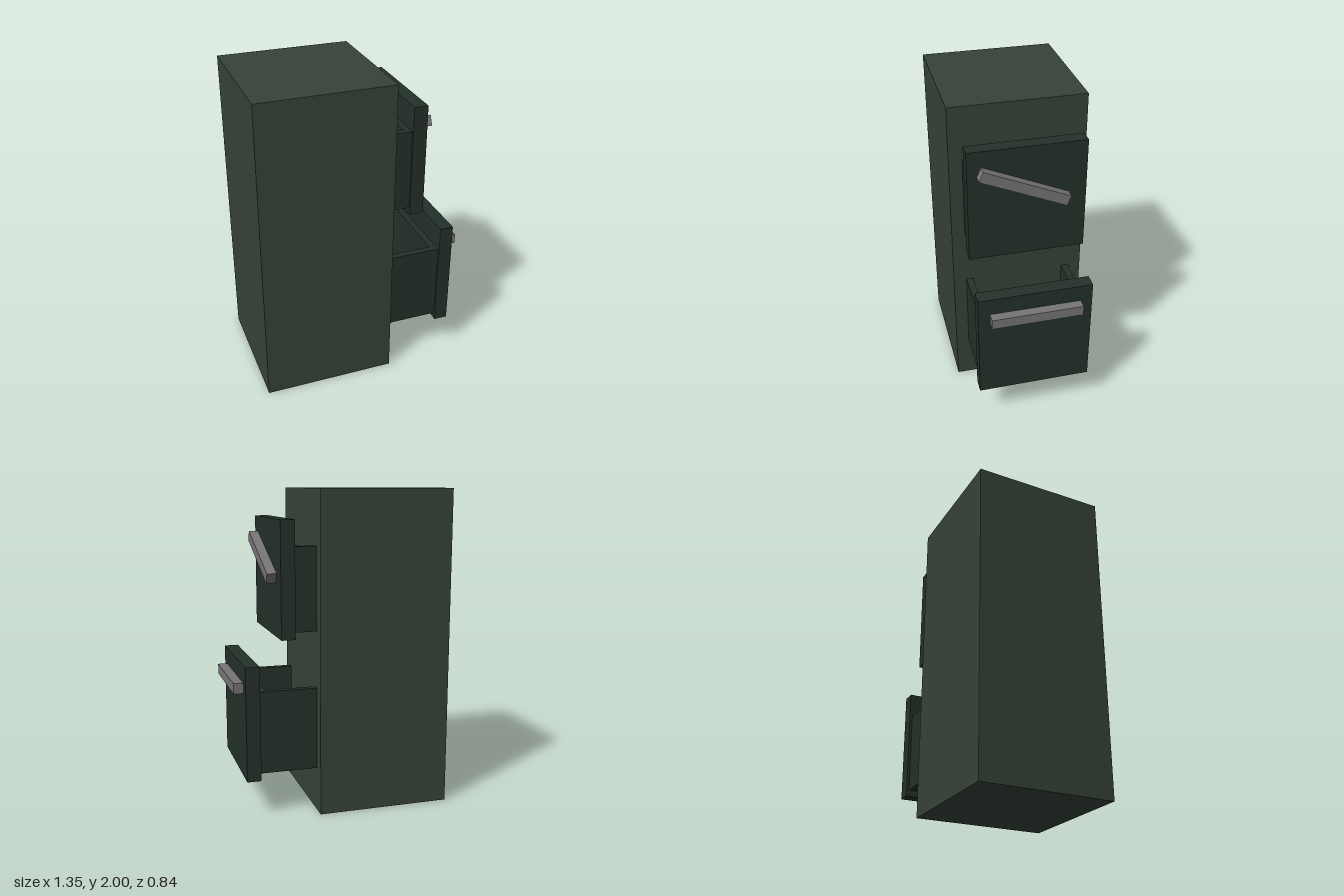
import * as THREE from 'three';

const cabinetMat = new THREE.MeshStandardMaterial({ color: 0x364339 });
const drawerMat = new THREE.MeshStandardMaterial({ color: 0x24312a });
const handleMat = new THREE.MeshStandardMaterial({ color: 0x777577 });

// Box given by its limits on each axis
function box(name, mat, [x0, x1], [y0, y1], [z0, z1]) {
  const mesh = new THREE.Mesh(new THREE.BoxGeometry(x1 - x0, y1 - y0, z1 - z0), mat);
  mesh.position.set((x0 + x1) / 2, (y0 + y1) / 2, (z0 + z1) / 2);
  mesh.name = name;
  return mesh;
}

// Pulled-out drawer: open-topped tray, front panel and bar handle.
// frontX is the back of the panel, baseY its lower edge.
function makeDrawer(name, frontX, baseY, handleY, handleZ, tilt) {
  const drawer = new THREE.Group();
  drawer.name = name;
  const back = 0.13, wall = 0.045, half = 0.34;
  const y0 = baseY + 0.042, y1 = baseY + 0.557;

  // Tray
  drawer.add(box('trayFloor', drawerMat, [back, frontX], [y0, y0 + wall], [-half, half]));
  for (const side of [-1, 1]) {
    const z = [side * half, side * (half - wall)].sort((a, b) => a - b);
    drawer.add(box('traySide', drawerMat, [back, frontX], [y0 + wall, y1], z));
  }
  drawer.add(box('trayFront', drawerMat, [frontX - 0.042, frontX], [y0 + wall, y1], [wall - half, half - wall]));

  // Panel and handle
  const face = frontX + 0.088;
  drawer.add(box('drawerPanel', drawerMat, [frontX, face], [baseY, baseY + 0.716], [-0.357, 0.357]));
  const handle = box('handle', handleMat, [face, face + 0.06],
    [handleY - 0.033, handleY + 0.033], [handleZ - 0.285, handleZ + 0.285]);
  handle.rotation.x = tilt;
  drawer.add(handle);
  return drawer;
}

export function createModel() {
  const model = new THREE.Group();
  model.name = 'filingCabinet';
  model.add(box('cabinetBody', cabinetMat, [-0.675, 0.167], [0, 2], [-0.421, 0.421]));
  model.add(makeDrawer('lowerDrawer', 0.526, 0.236, 0.811, 0, 0));
  // Upper drawer has a crooked handle
  model.add(makeDrawer('upperDrawer', 0.303, 1.104, 1.578, 0.024, -0.408));
  return model;
}
